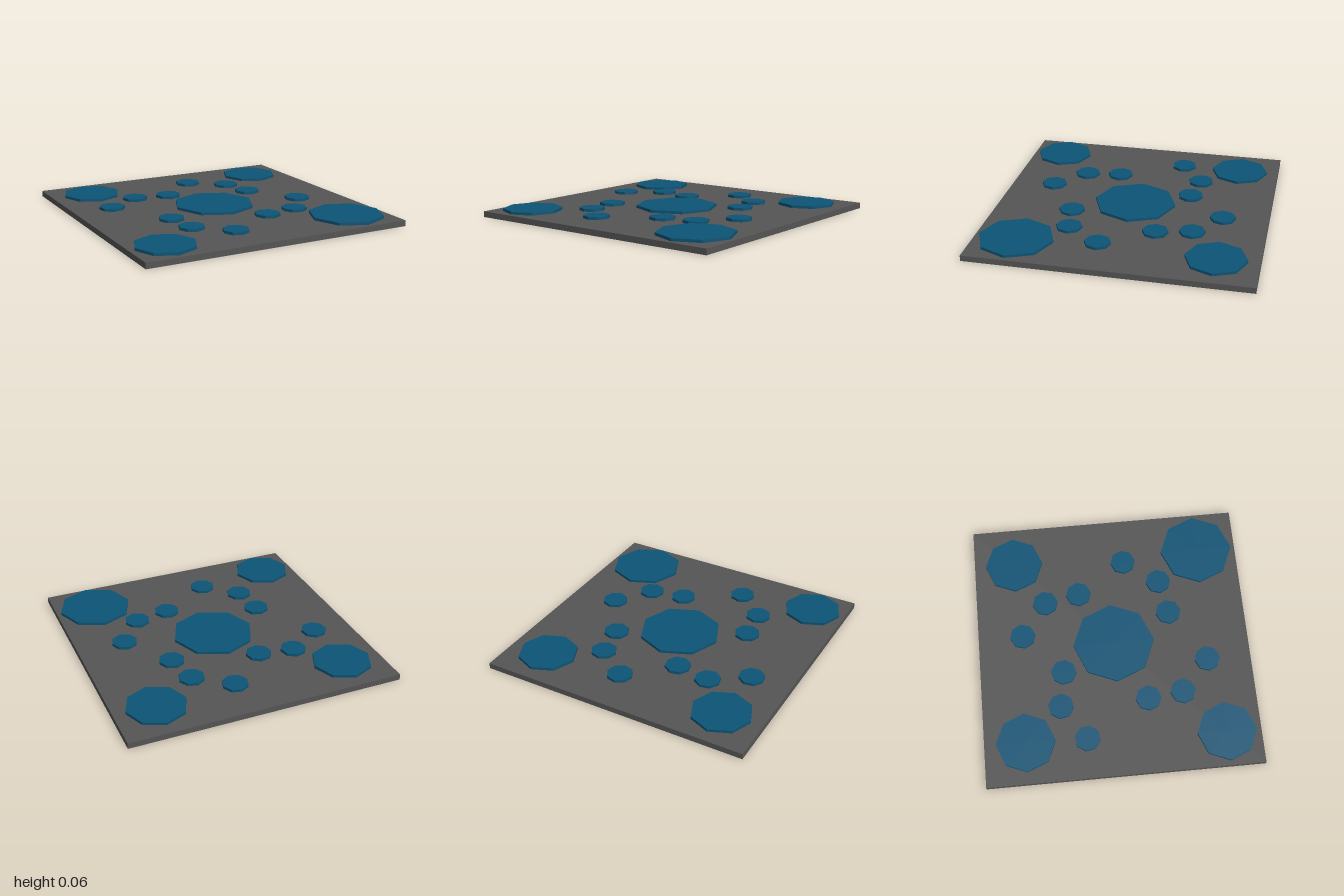
import * as THREE from 'three';

export function createModel() {
  const group = new THREE.Group();
  const grey = new THREE.MeshStandardMaterial({ color: 0x555555 });
  grey.name = 'slate grey';
  const blue = new THREE.MeshStandardMaterial({ color: 0x0d5475 });
  blue.name = 'deep blue';

  // Square base plate
  const plateTop = 0.042;
  const plate = new THREE.Mesh(new THREE.BoxGeometry(2, plateTop, 2), grey);
  plate.name = 'basePlate';
  plate.position.y = plateTop / 2;
  group.add(plate);

  // Octagonal discs resting on the plate, turned by a few degrees
  const discHeight = 0.02;
  function addDisc(name, x, z, radius, degrees = 0) {
    const geometry = new THREE.CylinderGeometry(radius, radius, discHeight, 8).toNonIndexed();
    geometry.computeVertexNormals();
    const disc = new THREE.Mesh(geometry, blue);
    disc.name = name;
    disc.position.set(x, plateTop + discHeight / 2, z);
    disc.rotation.y = THREE.MathUtils.degToRad(degrees);
    group.add(disc);
  }

  // Large discs: centre and four corners
  addDisc('centreDisc', 0, 0, 0.3);
  addDisc('backRightDisc', -0.7, -0.7, 0.215);
  addDisc('backLeftDisc', 0.7, -0.7, 0.215);
  addDisc('frontRightDisc', -0.75, 0.75, 0.215);
  addDisc('frontLeftDisc', 0.7, 0.7, 0.27);

  // Small scattered discs: x, z, turn in degrees
  const small = [
    [-0.71, -0.255, -13], [-0.453, -0.427, -10], [-0.195, -0.387, -10],
    [0.113, -0.67, 7], [0.362, -0.485, 7], [0.413, -0.23, 3],
    [0.648, 0.13, 3], [0.463, 0.382, 5], [0.207, 0.43, 5],
    [-0.42, 0.47, 2], [-0.45, 0.212, 2], [-0.188, 0.677, 4],
  ];
  small.forEach(([x, z, turn], i) => addDisc(`smallDisc${i + 1}`, x, z, 0.094, turn));

  return group;
}
